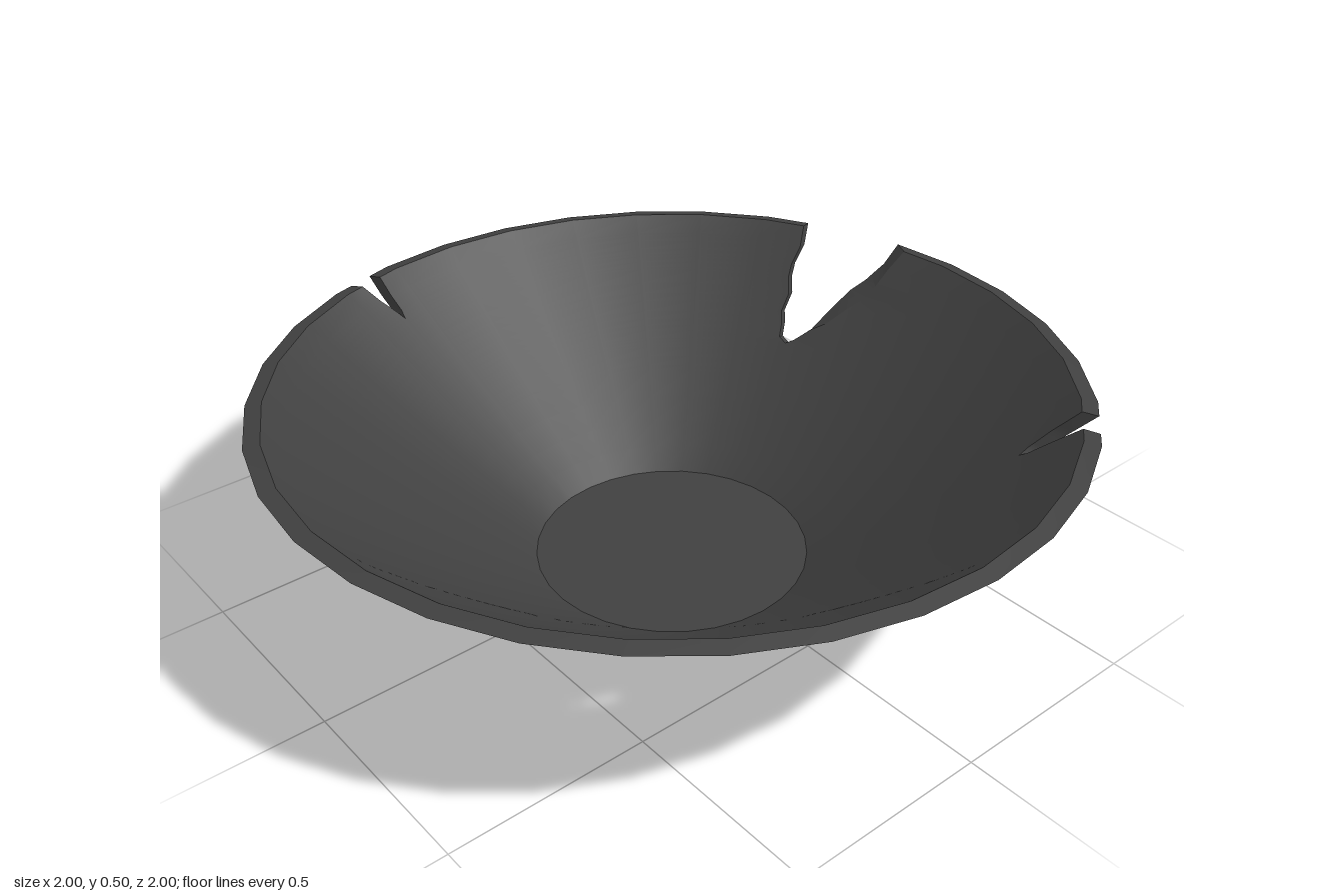
import * as THREE from 'three';
import { toCreasedNormals } from 'three/addons/utils/BufferGeometryUtils.js';

const SIDES = 32, STEP = 360 / SIDES, DEG = Math.PI / 180;

// Breaks in the wall: rows of [height fraction, gap start, gap end, inner shift of start] in degrees.
// A gap is closed wherever start equals end.
const breaks = [
  // small hole
  [[0.4, 52, 52, 0], [0.42, 50, 55, 0], [0.455, 46, 55.8, 0], [0.49, 43.8, 53, 0],
    [0.515, 44.5, 48, 0], [0.525, 46.5, 46.5, 0]],
  // narrow rim chip
  [[0.79, 129.3, 129.3, 0], [0.82, 128.6, 130.2, 0], [0.9, 127.9, 131.1, 0], [1, 126.8, 131.3, 0]],
  // large rim break
  [[0.555, 202.5, 202.5, 0], [0.575, 200.8, 204.4, 0], [0.63, 198.4, 205, -0.5],
    [0.67, 197.6, 205.9, -2.5], [0.74, 196, 205.6, -3.5], [0.8, 194.6, 206.7, -4.6],
    [0.85, 192.8, 206.9, -3.4], [0.92, 191.2, 206.3, -2.4], [1, 190.6, 206.8, -2.8]],
  // small rim chip
  [[0.84, 286.4, 286.4, 0], [0.87, 285.9, 286.9, 0], [0.93, 285.7, 288.2, 0], [1, 285.2, 289.2, 0]],
];

// Gap start, end and shift of one break at height fraction t
function gapAt(seam, t) {
  if (t <= seam[0][0]) return seam[0];
  for (let i = 1; i < seam.length; i++) {
    const a = seam[i - 1], b = seam[i];
    if (t <= b[0]) {
      const k = (t - a[0]) / (b[0] - a[0]);
      return a.map((v, j) => v + (b[j] - v) * k);
    }
  }
  return seam[seam.length - 1];
}

// Point on the outer or inner face; radius follows the many-sided rim
function wallPoint(t, angle, inner) {
  const d = ((angle % STEP) + STEP) % STEP;
  const facet = Math.cos(STEP / 2 * DEG) / Math.cos((d - STEP / 2) * DEG);
  const r = (inner ? 0.345 + 0.615 * t : 0.35 + 0.65 * t) * facet;
  const y = (inner ? 0.01 + 0.49 * t : 0.492 * t) - 0.065 * t * (1 - t);
  return new THREE.Vector3(r * Math.sin(angle * DEG), y, r * Math.cos(angle * DEG));
}

function buildWall() {
  const pos = [], ab = new THREE.Vector3(), ac = new THREE.Vector3();
  const tri = (a, b, c) => {
    if (ab.subVectors(b, a).cross(ac.subVectors(c, a)).length() < 1e-9) return;
    for (const p of [a, b, c]) pos.push(p.x, p.y, p.z);
  };
  const quad = (a, b, c, d) => { tri(a, b, c); tri(a, c, d); };

  // Rows: even steps plus every corner of a break
  const rows = [...new Set([0, 0.1, 0.2, 0.3, 0.4, 0.5, 0.6, 0.7, 0.8, 0.9, 1,
    ...breaks.flat().map((e) => e[0])])].sort((a, b) => a - b);

  breaks.forEach((seam, s) => {
    // One patch runs from this break to the next one round the bowl
    const next = breaks[(s + 1) % breaks.length];
    const turn = s === breaks.length - 1 ? 360 : 0;
    const from = Math.min(...seam.map((e) => e[2]));
    const to = Math.max(...next.map((e) => e[1])) + turn;
    const columns = [];
    for (let k = Math.ceil(from / STEP); k * STEP < to; k++) columns.push(k * STEP);

    const line = (t, inner) => {
      const lo = gapAt(seam, t)[2], gap = gapAt(next, t);
      const hi = gap[1] + turn + (inner ? gap[3] : 0);
      return [lo, ...columns.map((c) => Math.min(hi, Math.max(lo, c))), hi]
        .map((a) => wallPoint(t, a, inner));
    };
    const outer = rows.map((t) => line(t, false));
    const inner = rows.map((t) => line(t, true));
    const n = columns.length + 1, top = rows.length - 1;
    const isOpen = (b, i) => [rows[i], rows[i + 1]].some((t) => {
      const g = gapAt(b, t);
      return g[2] - g[1] > 1e-6;
    });

    for (let i = 0; i < top; i++) {
      const o = outer[i], p = outer[i + 1], u = inner[i], v = inner[i + 1];
      for (let j = 0; j < n; j++) {
        quad(o[j], o[j + 1], p[j + 1], p[j]);
        quad(u[j + 1], u[j], v[j], v[j + 1]);
      }
      // Broken faces through the thickness
      if (isOpen(seam, i)) quad(o[0], p[0], v[0], u[0]);
      if (isOpen(next, i)) quad(u[n], v[n], p[n], o[n]);
    }
    // Lip
    for (let j = 0; j < n; j++) {
      quad(outer[top][j], outer[top][j + 1], inner[top][j + 1], inner[top][j]);
    }
  });
  const geo = new THREE.BufferGeometry();
  geo.setAttribute('position', new THREE.Float32BufferAttribute(pos, 3));
  return toCreasedNormals(geo, 25 * DEG);
}

export function createModel() {
  const group = new THREE.Group();
  group.name = 'brokenBowl';
  const material = new THREE.MeshStandardMaterial({ color: 0x404040 });
  const add = (name, geometry) => {
    const mesh = new THREE.Mesh(geometry, material);
    mesh.name = name;
    group.add(mesh);
  };
  add('wall', buildWall());
  add('floor', new THREE.CircleGeometry(0.345, SIDES).rotateX(-Math.PI / 2).translate(0, 0.01, 0));
  add('underside', new THREE.CircleGeometry(0.35, SIDES).rotateX(Math.PI / 2));
  return group;
}
